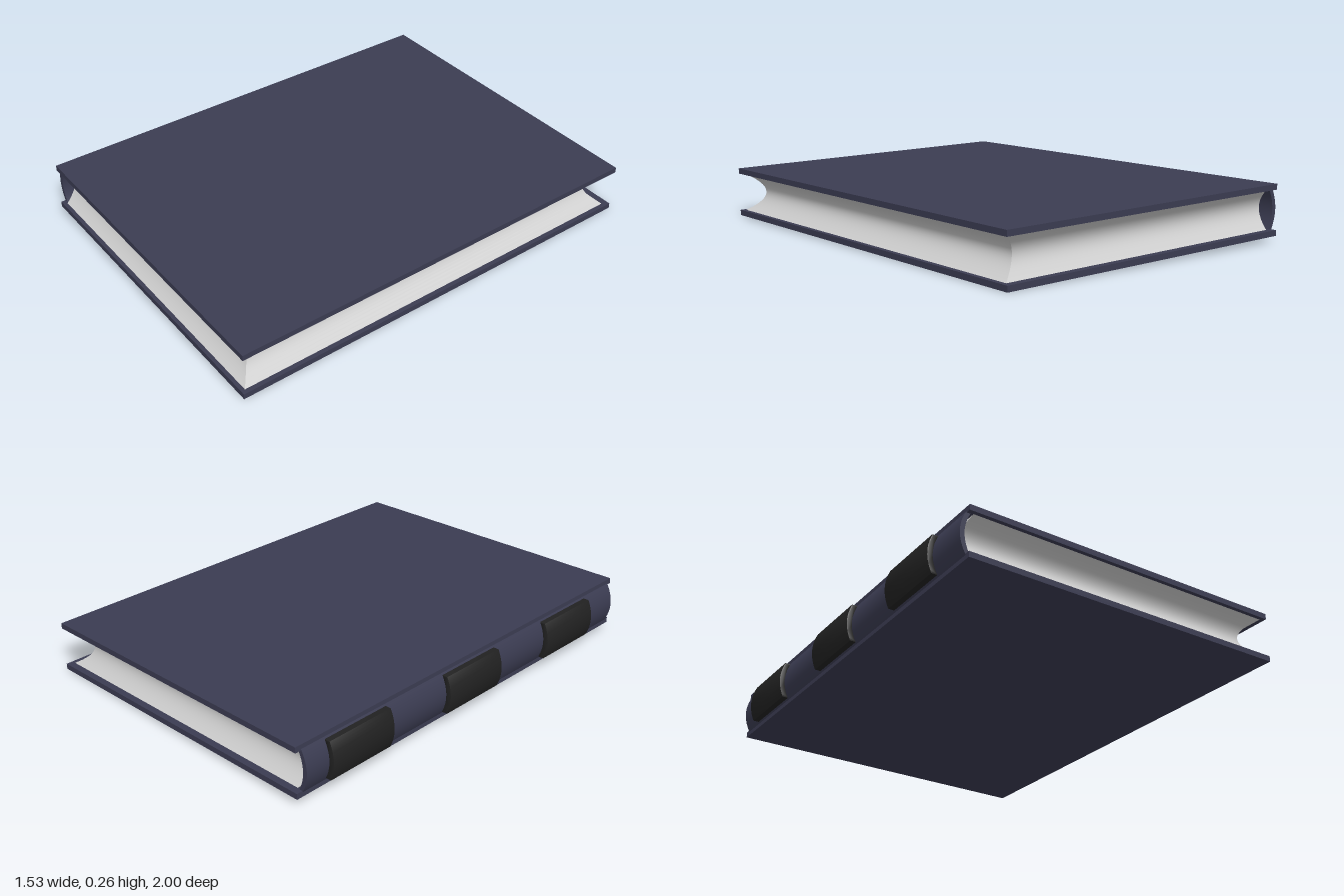
import * as THREE from 'three';
import { toCreasedNormals } from 'three/addons/utils/BufferGeometryUtils.js';

const INNER = 0.087;   // half the height between the covers
const COVER = 0.025;   // cover thickness

// Curved strip (bulging towards -x) drawn in the xy plane, extruded along z
function curvedStrip(endX, midX, halfH, thickness, length, bevel = 0) {
  const outer = [], inner = [], n = 16;
  for (let i = 0; i <= n; i++) {
    const s = -1 + (2 * i) / n;
    const x = midX + (endX - midX) * s * s;
    outer.push(new THREE.Vector2(x, s * halfH));
    inner.unshift(new THREE.Vector2(x + thickness, s * halfH));
  }
  const depth = length - 2 * bevel;
  const geo = new THREE.ExtrudeGeometry(new THREE.Shape([...outer, ...inner]), {
    depth, bevelEnabled: bevel > 0, bevelSize: bevel, bevelThickness: bevel,
    bevelOffset: -bevel, bevelSegments: 2,
  });
  geo.translate(0, 0, -depth / 2);
  return toCreasedNormals(geo, 0.6);
}

// Page block: four walls, hollowed on three sides and rounded at the spine
function pageBlock() {
  const n = 20, pos = [], index = [];
  const ring = (i) => {
    const s = -1 + (2 * i) / n, y = s * INNER, k = 1 - s * s;
    const l = -0.688 - 0.025 * k, r = 0.74 - 0.078 * k;
    const f = 0.98 - 0.062 * k, b = -0.967 + 0.062 * k;
    return [[l, y, f], [r, y, f], [r, y, b], [l, y, b]];
  };
  for (let side = 0; side < 4; side++) {
    const base = pos.length / 3;
    for (let i = 0; i <= n; i++) {
      const c = ring(i);
      pos.push(...c[side], ...c[(side + 1) % 4]);
      if (i < n) {
        const a = base + i * 2;
        index.push(a, a + 1, a + 3, a, a + 3, a + 2);
      }
    }
  }
  const geo = new THREE.BufferGeometry();
  geo.setAttribute('position', new THREE.Float32BufferAttribute(pos, 3));
  geo.setIndex(index);
  geo.computeVertexNormals();
  return geo;
}

export function createModel() {
  const model = new THREE.Group();
  const book = new THREE.Group();
  book.name = 'book';
  model.add(book);

  const cloth = new THREE.MeshStandardMaterial({ color: 0x3b3c52 });
  const leather = new THREE.MeshStandardMaterial({ color: 0x222222 });
  const paper = new THREE.MeshStandardMaterial({ color: 0xcccccc, side: THREE.DoubleSide });

  const add = (name, geo, mat, x = 0, y = 0, z = 0) => {
    const mesh = new THREE.Mesh(geo, mat);
    mesh.name = name;
    mesh.position.set(x, y, z);
    book.add(mesh);
  };

  // Covers
  const board = new THREE.BoxGeometry(1.475, COVER, 1.995);
  add('frontCover', board, cloth, 0.0225, INNER + COVER / 2);
  add('backCover', board, cloth, 0.0225, -INNER - COVER / 2);

  // Pages
  add('pages', pageBlock(), paper);

  // Spine and its raised bands
  add('spine', curvedStrip(-0.712, -0.742, 0.098, 0.02, 1.945), cloth, 0, 0, 0.003);
  const band = curvedStrip(-0.745, -0.766, 0.085, 0.03, 0.33, 0.004);
  for (const z of [-0.69, -0.03, 0.62]) add('spineBand', band, leather, 0, 0, z);

  // Slight tilt, resting on the fore-edge
  book.rotation.set(-0.004, 0, -0.0175);
  book.position.y = 0.13;
  return model;
}
